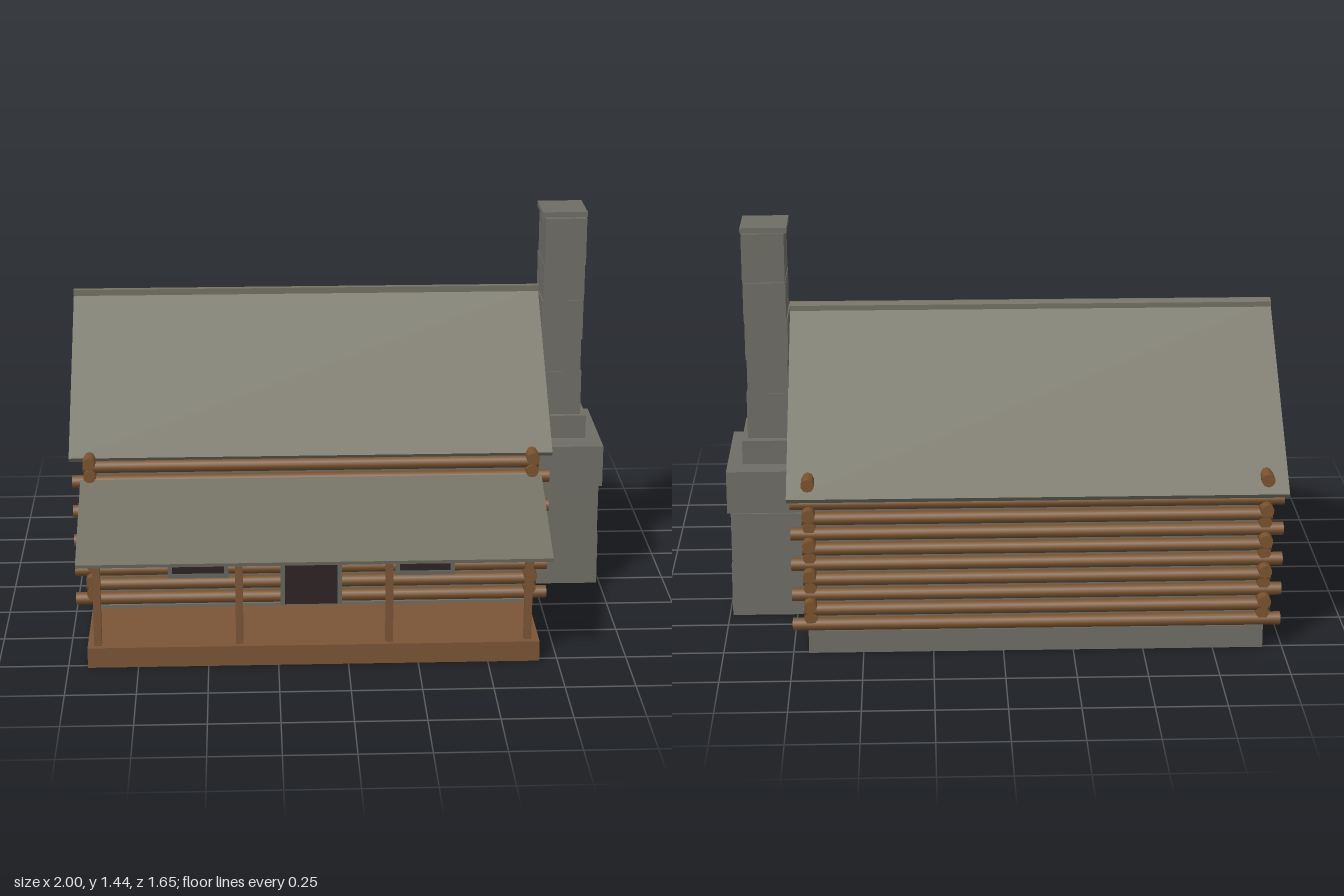
import * as THREE from 'three';

const mat = (name, color, side = THREE.FrontSide) => {
  const m = new THREE.MeshStandardMaterial({ color, side });
  m.name = name;
  return m;
};

export function createModel() {
  const model = new THREE.Group();
  model.name = 'logCabin';
  const log = mat('log brown', 0x79532f);
  const plank = mat('plank brown', 0x7a5436);
  const stone = mat('stone grey', 0x6e6d65);
  const shingle = mat('shingle grey', 0x737163);
  const trim = mat('trim grey', 0x66655c);
  const dark = mat('dark opening', 0x2e2224);

  const add = (name, geometry, material, parent = model) => {
    const mesh = new THREE.Mesh(geometry, material);
    mesh.name = name;
    parent.add(mesh);
    return mesh;
  };
  const group = (name) => {
    const g = new THREE.Group();
    g.name = name;
    model.add(g);
    return g;
  };
  // Box given by its lower and upper corner
  const box = (name, material, [x0, x1], [y0, y1], [z0, z1], parent) => {
    const g = new THREE.BoxGeometry(x1 - x0, y1 - y0, z1 - z0);
    g.translate((x0 + x1) / 2, (y0 + y1) / 2, (z0 + z1) / 2);
    return add(name, g, material, parent);
  };
  // Profile of [z, y] points drawn out along x
  const prism = (name, material, points, x0, x1, parent) => {
    const shape = new THREE.Shape(points.map(([z, y]) => new THREE.Vector2(-z, y)));
    const g = new THREE.ExtrudeGeometry(shape, { depth: x1 - x0, bevelEnabled: false });
    g.rotateY(Math.PI / 2).translate(x0, 0, 0);
    return add(name, g, material, parent);
  };

  // Foundation: walls on three sides, open below
  const foundation = group('foundation');
  box('foundationBack', stone, [-0.93, 0.695], [0, 0.085], [-0.76, -0.75], foundation);
  box('foundationLeft', stone, [0.685, 0.695], [0, 0.085], [-0.75, 0.4], foundation);
  box('foundationRight', stone, [-0.93, -0.92], [0, 0.085], [-0.75, 0.4], foundation);
  box('floor', stone, [-0.92, 0.685], [0.075, 0.085], [-0.75, 0.4], foundation);

  // Porch deck: four skirt boards and a top, open below
  const porch = group('porch');
  box('deck', plank, [-0.93, 0.685], [0.065, 0.075], [0.4, 0.77], porch);
  for (const z of [0.4, 0.76]) box('skirtBoard', plank, [-0.93, 0.685], [0, 0.065], [z, z + 0.01], porch);
  for (const x of [-0.93, 0.675]) box('skirtEnd', plank, [x, x + 0.01], [0, 0.065], [0.41, 0.76], porch);
  for (const x of [-0.893, -0.388, 0.147, 0.644]) {
    box('porchPost', plank, [x - 0.0135, x + 0.0135], [0.075, 0.44], [0.722, 0.749], porch);
  }
  prism('porchRoof', shingle,
    [[0.395, 0.587], [0.828, 0.416], [0.825, 0.403], [0.395, 0.572]], -0.96, 0.72, porch);

  // Chinked wall core behind the logs
  box('chinking', stone, [-0.912, 0.672], [0.08, 0.645], [-0.742, 0.377]);

  // Log courses, alternately long and short, crossing at the corners
  const logs = group('logWalls');
  const R = 0.0235;
  const step = 0.0573;
  const addLog = (name, length, x, y, z, alongX) => {
    const g = new THREE.CylinderGeometry(R, R, length, 10);
    if (alongX) g.rotateZ(Math.PI / 2);
    else g.rotateX(Math.PI / 2);
    add(name, g, log, logs).position.set(x, y, z);
  };
  for (let i = 0; i < 10; i++) {
    const longX = i % 2 === 1;
    for (const z of [0.39, -0.755]) {
      addLog('longWallLog', longX ? 1.74 : 1.66, -0.12, 0.626 - i * step, z, true);
    }
    const longZ = i % 2 === 0;
    for (const x of [-0.925, 0.685]) {
      addLog('endWallLog', longZ ? 1.272 : 1.2, x, 0.655 - i * step, longZ ? -0.181 : -0.175, false);
    }
  }

  // Gable ends
  for (const x of [-0.932, 0.677]) {
    prism('gable', plank, [[0.385, 0.645], [-0.18, 1.1], [-0.75, 0.645]], x, x + 0.015);
  }

  // Main roof and ridge cap
  prism('mainRoof', shingle, [
    [-0.18, 1.125], [0.4, 0.661], [0.389, 0.645],
    [-0.18, 1.1], [-0.815, 0.592], [-0.826, 0.608],
  ], -1, 0.76);
  prism('ridgeCap', shingle, [
    [-0.2, 1.1], [-0.2, 1.128], [-0.18, 1.138], [-0.165, 1.136], [-0.165, 1.1],
  ], -1, 0.762);

  // Front windows and door: raised frames around dark plates
  const opening = (name, [x0, x1], [y0, y1], sill) => {
    const g = group(name);
    const w = 0.016;
    const z = [0.385, 0.421];
    box('frameSide', trim, [x0, x0 + w], [y0, y1], z, g);
    box('frameSide', trim, [x1 - w, x1], [y0, y1], z, g);
    box('frameTop', trim, [x0 + w, x1 - w], [y1 - w, y1], z, g);
    if (sill) box('frameSill', trim, [x0 + w, x1 - w], [y0, y0 + w], z, g);
    box('pane', dark, [x0 + w, x1 - w], [sill ? y0 + w : y0, y1 - w], [0.408, 0.416], g);
  };
  opening('frontWindow', [-0.65, -0.428], [0.196, 0.402], true);
  opening('frontWindow', [0.188, 0.408], [0.196, 0.402], true);
  opening('frontDoor', [-0.236, -0.01], [0.085, 0.42], false);

  // Window in the end wall opposite the chimney
  box('endWindow', dark, [-0.953, -0.946], [0.19, 0.385], [-0.295, -0.095]);

  // Chimney: slightly uneven stone courses [x0, x1, y0, y1, z0, z1]
  const chimney = group('chimney');
  [
    [0.69, 0.988, 0, 0.2, -0.408, 0.045],
    [0.69, 0.985, 0.2, 0.4, -0.41, 0.045],
    [0.69, 0.998, 0.4, 0.56, -0.403, 0.052],
    [0.69, 0.942, 0.56, 0.65, -0.318, -0.05],
    [0.766, 0.922, 0.65, 0.82, -0.286, -0.07],
    [0.77, 0.918, 0.82, 0.95, -0.284, -0.072],
    [0.766, 0.922, 0.95, 1.1, -0.284, -0.07],
    [0.77, 0.924, 1.1, 1.24, -0.29, -0.072],
    [0.772, 0.926, 1.24, 1.42, -0.282, -0.064],
    [0.762, 0.93, 1.42, 1.44, -0.272, -0.086],
  ].forEach(([x0, x1, y0, y1, z0, z1]) => box('stoneCourse', stone, [x0, x1], [y0, y1], [z0, z1], chimney));

  return model;
}
